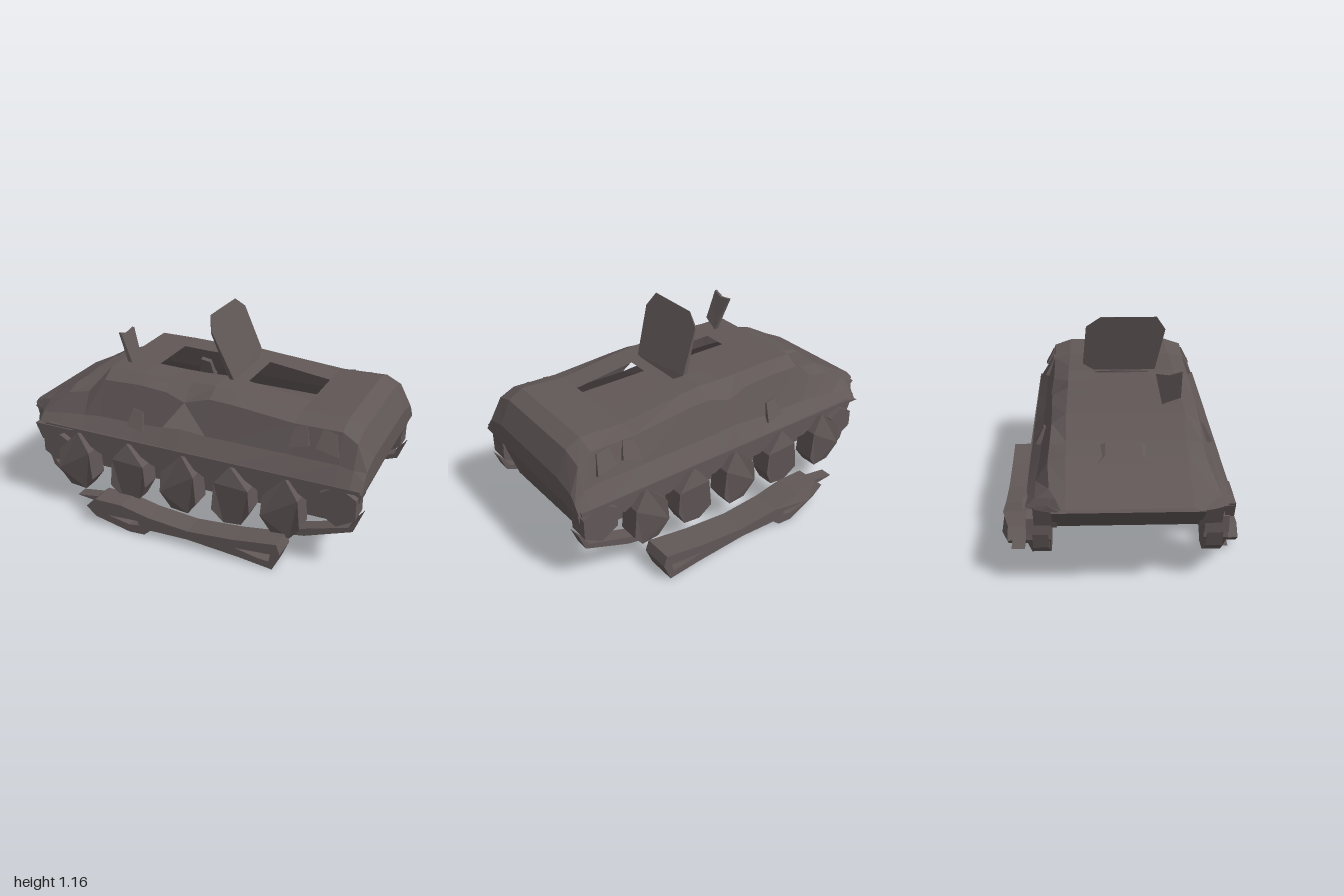
import * as THREE from 'three';

const paint = new THREE.MeshStandardMaterial({ color: 0x615757, flatShading: true, side: THREE.DoubleSide });
paint.name = 'dull brown armour';

const ZC = 0.028; // the hull sits slightly off the middle

function addMesh(parent, name, geometry) {
  const m = new THREE.Mesh(geometry, paint);
  m.name = name;
  parent.add(m);
  return m;
}

const shapeOf = (pts) => new THREE.Shape(pts.map(([x, y]) => new THREE.Vector2(x, y)));

// Side profile in x,y pulled from z0 to z1, with optional openings
function slab(pts, [z0, z1], holes = []) {
  const s = shapeOf(pts);
  holes.forEach((h) => s.holes.push(shapeOf(h)));
  return new THREE.ExtrudeGeometry(s, { depth: z1 - z0, bevelEnabled: false }).translate(0, 0, z0);
}

// Move every vertex by a rule
function reshape(g, rule) {
  const p = g.attributes.position;
  for (let i = 0; i < p.count; i++) p.setXYZ(i, ...rule(p.getX(i), p.getY(i), p.getZ(i)));
  g.computeVertexNormals();
  return g;
}

// Triangle soup from corner points
function faces(list) {
  const g = new THREE.BufferGeometry();
  g.setAttribute('position', new THREE.Float32BufferAttribute(list.flat(2), 3));
  g.computeVertexNormals();
  return g;
}

// Box narrowed and skewed at the top
const lump = (w, h, d, skew) => reshape(new THREE.BoxGeometry(w, h, d),
  (x, y, z) => (y > 0 ? [x * 0.6 + skew, y, z * 0.6] : [x, y, z]));

// Upper hull: rings of ten points, lofted along x; hatches and one side gap left out
function upperHull() {
  // x, edge y, edge z, waist y, waist z, shoulder y, shoulder z, deck y
  const sections = [
    [-1, 0.53, 0.34, 0.535, 0.33, 0.54, 0.32, 0.545],
    [-0.93, 0.5, 0.41, 0.53, 0.39, 0.57, 0.35, 0.58],
    [-0.87, 0.49, 0.5, 0.54, 0.45, 0.59, 0.38, 0.61],
    [-0.73, 0.5, 0.505, 0.56, 0.45, 0.66, 0.39, 0.69],
    [-0.6, 0.5, 0.505, 0.57, 0.445, 0.69, 0.385, 0.71],
    [-0.5, 0.5, 0.505, 0.58, 0.44, 0.77, 0.375, 0.82],
    [-0.28, 0.5, 0.505, 0.58, 0.44, 0.78, 0.38, 0.82],
    [-0.12, 0.5, 0.505, 0.59, 0.44, 0.77, 0.385, 0.815],
    [-0.01, 0.5, 0.505, 0.6, 0.44, 0.735, 0.395, 0.815],
    [0.13, 0.5, 0.505, 0.59, 0.44, 0.775, 0.385, 0.82],
    [0.25, 0.5, 0.505, 0.59, 0.44, 0.77, 0.385, 0.81],
    [0.6, 0.5, 0.505, 0.59, 0.445, 0.74, 0.395, 0.765],
    [0.85, 0.5, 0.505, 0.59, 0.45, 0.745, 0.4, 0.78],
    [0.93, 0.5, 0.505, 0.58, 0.455, 0.7, 0.41, 0.735],
    [0.99, 0.48, 0.5, 0.53, 0.465, 0.57, 0.43, 0.6],
  ];
  const rings = sections.map(([x, ey, ez, wy, wz, sy, sz, dy]) => {
    const half = [[ez, ey], [wz, wy], [sz, sy], [0.3, dy], [0.15, dy]];
    const full = [...half, ...half.map(([z, y]) => [-z, y]).reverse()];
    return full.map(([z, y]) => [x, y, z + ZC]);
  });
  const out = [];
  for (let i = 0; i < rings.length - 1; i++) {
    for (let j = 0; j < 9; j++) {
      const a = rings[i][j], b = rings[i + 1][j], c = rings[i + 1][j + 1], d = rings[i][j + 1];
      const hatch = j === 4 && ((i >= 6 && i <= 8) || i === 10);
      if (hatch) continue;
      if (j === 1 && i === 7) out.push([a, c, d]);
      else if (j === 1 && i === 8) out.push([b, c, d]);
      else out.push([a, b, c], [a, c, d]);
    }
  }
  // rear closing wall
  const last = rings[rings.length - 1];
  for (let j = 1; j < 9; j++) out.push([last[0], last[j + 1], last[j]]);
  return faces(out);
}

// Hatch lid given as a z,y outline, leaning forward by a rule
const lid = (outline, xBase, lean) => reshape(
  new THREE.ExtrudeGeometry(shapeOf(outline), { depth: 0.025, bevelEnabled: false }),
  (z, y, t) => [xBase - (y - 0.82) * lean + t * Math.min(1, (1.2 - y) * 3), y, z]);

export function createModel() {
  const model = new THREE.Group();
  model.name = 'trackedCarrier';

  addMesh(model, 'upperHull', upperHull());
  // Belly tub, its floor tilted a little and its tail undercut
  addMesh(model, 'lowerHull', reshape(slab(
    [[-0.99, 0.52], [-0.79, 0.34], [-0.55, 0.24], [0.89, 0.235], [0.985, 0.5]], [-0.34, 0.39]),
  (x, y, z) => [x, y < 0.3 ? y - z * 0.04 : y, z]));

  // Open hatch lids
  addMesh(model, 'mainHatchLid', lid(
    [[0.22, 0.82], [0.27, 1.08], [0.22, 1.16], [-0.09, 1.16], [-0.17, 1.1], [-0.19, 0.86], [-0.1, 0.8]],
    0.155, 0.32));
  addMesh(model, 'smallHatchLid', lid(
    [[0.22, 0.82], [0.24, 0.83], [0.315, 0.86], [0.315, 1.02], [0.25, 1.0], [0.18, 1.01]], -0.39, 0.32));

  // Low driver cover on the nose
  const cover = addMesh(model, 'driverCover', lump(0.17, 0.035, 0.3, 0.03));
  cover.position.set(-0.71, 0.685, 0.01);
  cover.rotation.z = 0.2;

  // Bent mudguard flap at the left front corner
  addMesh(model, 'mudguardFlap', slab([[-0.88, 0.5], [-0.84, 0.41], [-0.72, 0.46], [-0.64, 0.5]], [0.5, 0.545]));

  for (const s of [1, -1]) {
    const side = new THREE.Group();
    side.name = s > 0 ? 'leftRunningGear' : 'rightRunningGear';
    model.add(side);
    const z = (d) => ZC + s * d; // distance outward from the hull middle
    const span = (a, b) => [Math.min(z(a), z(b)), Math.max(z(a), z(b))];

    // Lip along the bottom of the side armour
    addMesh(side, 'sideLip', slab(
      [[-0.88, 0.49], [0.98, 0.48], [0.98, 0.5], [-0.8, 0.51]], span(0.35, 0.508)));

    // Ragged inner skirt over the upper track run
    const teeth = [[-0.9, 0.5], [-0.84, 0.36], [-0.76, 0.32]];
    for (const x of [-0.64, -0.31, 0, 0.3, 0.58]) teeth.push([x - 0.11, 0.36], [x + 0.02, 0.42], [x + 0.13, 0.36]);
    teeth.push([0.8, 0.43], [0.97, 0.41], [0.985, 0.5]);
    addMesh(side, 'trackSkirt', slab(teeth, span(0.35, 0.46)));

    // Crooked road wheels, rising to a point and leaning in at the top and bottom
    [-0.64, -0.31, 0, 0.3, 0.58].forEach((x, i) => {
      const f = i % 2 ? -1 : 1;
      const outline = [[-0.11, 0.24], [-0.055, 0.14], [0.045, 0.13], [0.105, 0.21], [0.09, 0.37], [0.01, 0.47], [-0.1, 0.36]];
      const g = slab(outline.map(([u, y]) => [x + u * f, y]), [0.385, 0.508]);
      addMesh(side, 'roadWheel', reshape(g, (px, py, pz) => {
        const inset = pz > 0.45 && (py > 0.4 || py < 0.15) ? 0.025 : 0;
        return [px, py, z(pz - inset)];
      }));
    });
    for (const [name, x, y, r] of [['driveSprocket', -0.77, 0.37, 0.09], ['rearIdler', 0.87, 0.385, 0.11]]) {
      const m = addMesh(side, name, new THREE.CylinderGeometry(r, r, 0.12, 6).rotateX(Math.PI / 2));
      m.position.set(x, y, z(0.435));
    }

    // Slack track lying outside the wheels, with gaps between its runs
    const track = slab(
      [[-0.52, 0.1], [-0.46, 0.05], [-0.25, 0.005], [-0.16, 0.01], [-0.12, 0.045], [0.1, 0.05], [0.4, 0.025], [0.58, 0.003],
        [0.62, 0.1], [0.6, 0.155], [0.36, 0.12], [0.1, 0.1], [-0.13, 0.12], [-0.3, 0.155], [-0.46, 0.155]],
      s > 0 ? [0.49, 0.63] : [-0.64, -0.475],
      [[[-0.38, 0.075], [-0.25, 0.05], [-0.19, 0.06], [-0.2, 0.085]],
        [[0.37, 0.075], [0.5, 0.05], [0.56, 0.045], [0.57, 0.09]]]);
    // the right track narrows towards its front end
    addMesh(side, 'groundTrack', reshape(track, (x, y, pz) => [x, y, pz < -0.6 && x < -0.4 ? -0.6 : pz]));
    addMesh(side, 'trackEnd', slab([[-0.62, 0.11], [-0.42, 0.09], [-0.42, 0.14]],
      s > 0 ? [0.49, 0.56] : [-0.57, -0.5]));

    // Thin torn strands climbing to the nose and the rear
    addMesh(side, 'rearStrand', slab(
      [[0.58, 0.14], [0.7, 0.16], [0.95, 0.25], [0.985, 0.34], [0.93, 0.27], [0.66, 0.19]], span(0.39, 0.47)));
    addMesh(side, 'frontStrand', slab(
      [[-0.62, 0.13], [-0.73, 0.17], [-0.81, 0.23], [-0.84, 0.32], [-0.78, 0.24], [-0.66, 0.18]], span(0.39, 0.47)));

    // Crumpled stowage on the upper sides
    [[-0.26, 0.6, 0.43, 0.1], [0.63, 0.68, 0.405, 0.11], [0.8, 0.68, 0.41, 0.12]].forEach(([x, y, d, w], i) => {
      const m = addMesh(side, 'stowage', lump(w, 0.1, 0.06, i % 2 ? 0.02 : -0.02));
      m.position.set(x, y, z(d));
      m.rotation.set(-s * 0.35, 0, i % 2 ? 0.25 : -0.2);
    });
  }
  return model;
}
